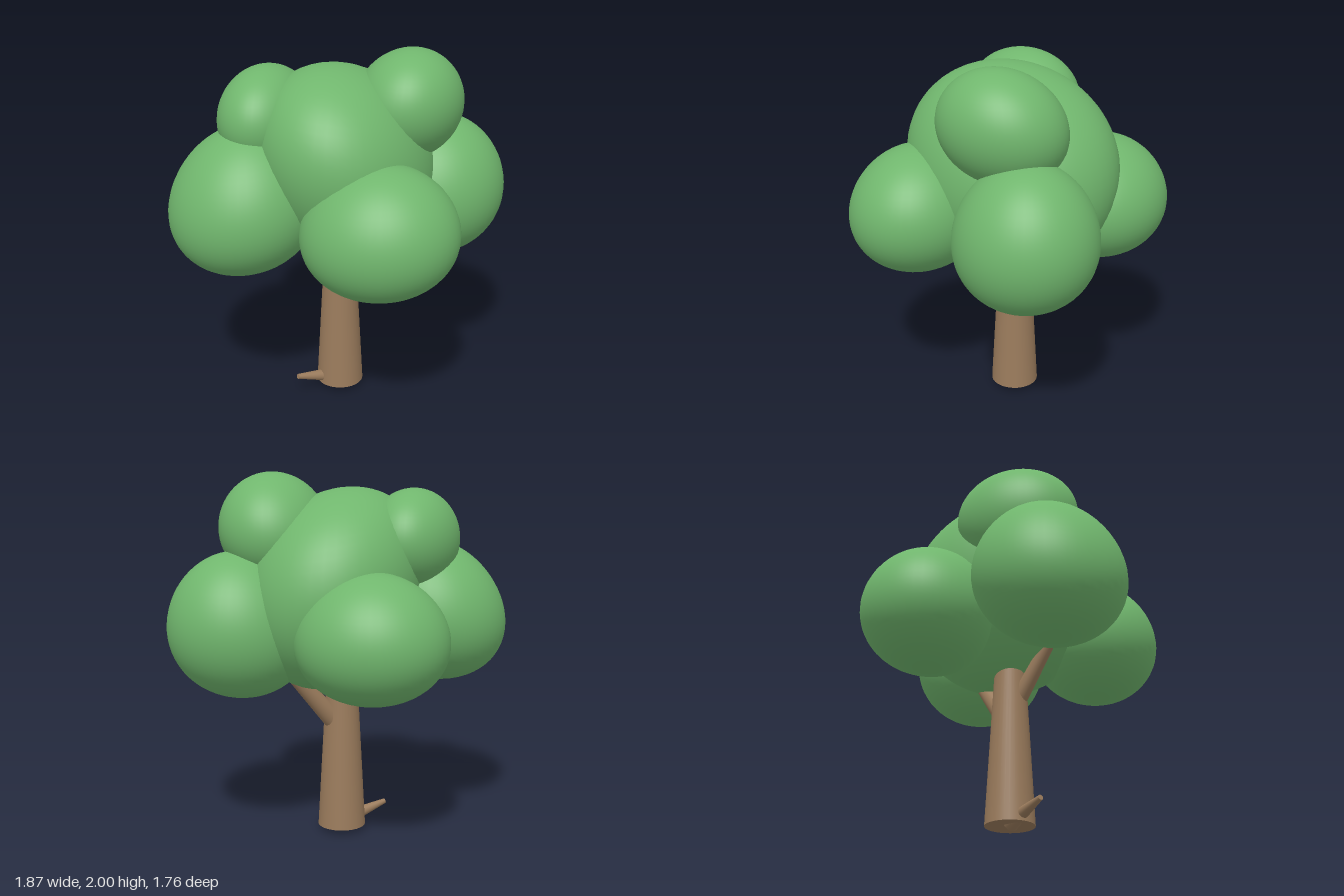
import * as THREE from 'three';
import { mergeVertices } from 'three/addons/utils/BufferGeometryUtils.js';

const leafGreen = new THREE.MeshStandardMaterial({ color: 0x70b66d });
const barkBrown = new THREE.MeshStandardMaterial({ color: 0x9a7b5c });

// Smooth leaf clump: an ellipsoid with exact half-extents, leaned by the
// correlations between its axes and made narrower towards the top by taper.
function leafClump({ name, at, size: [a, b, c], lean = [0, 0, 0], taper = 0 }) {
  const [xy, xz, yz] = lean;
  const geometry = new THREE.SphereGeometry(1, 48, 32);
  geometry.deleteAttribute('uv');
  geometry.deleteAttribute('normal');
  const merged = mergeVertices(geometry, 1e-4);
  const pos = merged.attributes.position;
  const yx = Math.sqrt(1 - xy * xy);
  const zx = (yz - xy * xz) / yx;
  const zz = Math.sqrt(1 - xz * xz - zx * zx);
  for (let i = 0; i < pos.count; i++) {
    const u = pos.getX(i), v = pos.getY(i), w = pos.getZ(i);
    const k = 1 - taper * v;
    pos.setXYZ(i,
      a * (u * k),
      b * (xy * u + yx * v),
      c * (xz * u + zx * v + zz * w) * k);
  }
  merged.computeVertexNormals();
  const mesh = new THREE.Mesh(merged, leafGreen);
  mesh.name = name;
  mesh.position.set(...at);
  return mesh;
}

// Tapered round limb between two points
function limb(name, from, to, r0, r1) {
  const start = new THREE.Vector3(...from), end = new THREE.Vector3(...to);
  const axis = end.clone().sub(start);
  const mesh = new THREE.Mesh(new THREE.CylinderGeometry(r1, r0, axis.length(), 32), barkBrown);
  mesh.name = name;
  mesh.position.copy(start).add(end).multiplyScalar(0.5);
  mesh.quaternion.setFromUnitVectors(new THREE.Vector3(0, 1, 0), axis.normalize());
  return mesh;
}

export function createModel() {
  const tree = new THREE.Group();
  tree.name = 'tree';

  // Trunk, two branches into the crown and a twig near the ground
  const wood = new THREE.Group();
  wood.name = 'wood';
  wood.add(
    limb('trunk', [-0.005, 0.03, -0.025], [-0.005, 1.0, -0.025], 0.133, 0.08),
    limb('leftBranch', [0.02, 0.61, -0.025], [0.36, 1.0, -0.025], 0.056, 0.037),
    limb('rightBranch', [-0.05, 0.72, 0.0], [-0.24, 1.0, 0.07], 0.045, 0.035),
    limb('lowTwig', [-0.01, 0.046, -0.025], [-0.287, 0.113, -0.025], 0.045, 0.014),
  );

  // Crown: a large middle clump ringed by four, with two on top
  const crown = new THREE.Group();
  crown.name = 'crown';
  [
    { name: 'middleClump', at: [0.02, 1.375, 0], size: [0.54, 0.545, 0.535], lean: [-0.18, -0.2, 0], taper: -0.06 },
    { name: 'rightClump', at: [-0.535, 1.235, -0.125], size: [0.4, 0.395, 0.405], lean: [0.1, 0, 0], taper: 0.1 },
    { name: 'leftClump', at: [0.54, 1.195, 0.11], size: [0.39, 0.395, 0.37], lean: [0.05, 0, 0], taper: 0.07 },
    { name: 'frontClump', at: [-0.08, 1.17, 0.495], size: [0.39, 0.35, 0.385], lean: [0.05, 0.12, 0], taper: 0.06 },
    { name: 'backClump', at: [0.075, 1.17, -0.495], size: [0.385, 0.34, 0.385], lean: [0, 0.08, 0], taper: 0.06 },
    { name: 'topLeftClump', at: [0.31, 1.7, 0.155], size: [0.32, 0.3, 0.32], lean: [0, -0.15, 0.1], taper: 0.02 },
    { name: 'topRightClump', at: [-0.35, 1.64, -0.2], size: [0.3, 0.275, 0.285], lean: [0, -0.3, 0] },
  ].forEach((spec) => crown.add(leafClump(spec)));

  tree.add(wood, crown);
  return tree;
}
